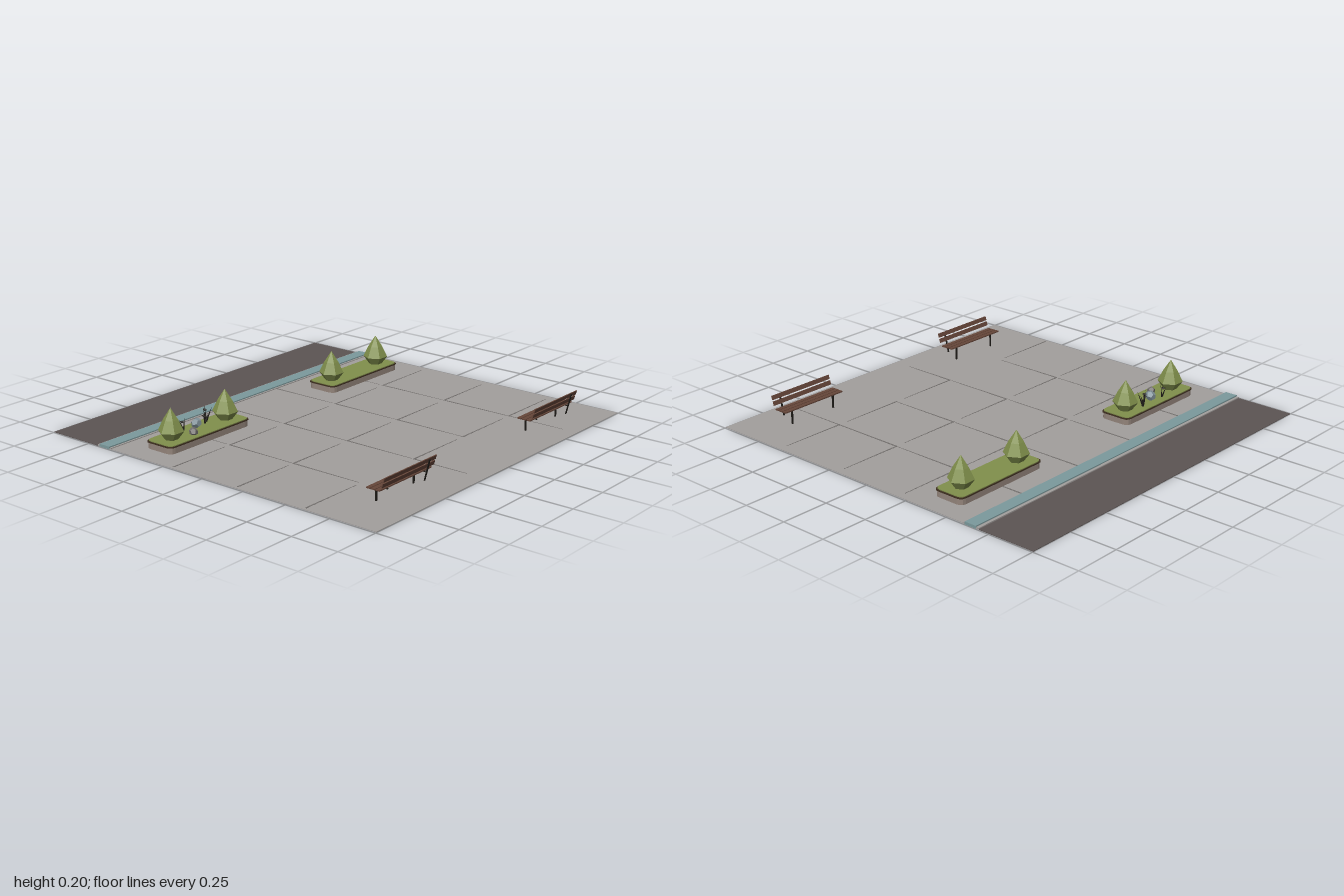
import * as THREE from 'three';

const paint = (name, color, flatShading = true) => {
  const m = new THREE.MeshStandardMaterial({ color, flatShading, side: THREE.DoubleSide });
  m.name = name;
  return m;
};

export function createModel() {
  const mats = {
    paving: paint('paving grey', 0xa39f9d),
    joint: paint('joint grey', 0x74716f),
    road: paint('road brown grey', 0x5c5453),
    kerb: paint('kerb teal', 0x7c9a9d),
    stone: paint('planter stone', 0x94857b),
    soil: paint('soil brown', 0x3f3020),
    green: paint('leaf green', 0x81904c),
    wood: paint('bench wood', 0x664639),
    dark: paint('dark metal', 0x1f1c18),
    rock: paint('rock blue grey', 0x81929a),
  };
  const model = new THREE.Group();
  model.name = 'plaza';

  const add = (parent, name, geo, mat, x = 0, y = 0, z = 0) => {
    const mesh = new THREE.Mesh(geo, mat);
    mesh.name = name;
    mesh.position.set(x, y, z);
    parent.add(mesh);
    return mesh;
  };
  const box = (parent, name, mat, w, h, d, x, y, z) =>
    add(parent, name, new THREE.BoxGeometry(w, h, d), mat, x, y, z);

  // Ground: road, raised kerb and paving
  box(model, 'road', mats.road, 0.31, 0.003, 1.99, -0.845, 0.0015, 0);
  box(model, 'kerbBase', mats.paving, 0.09, 0.008, 1.99, -0.645, 0.0045, 0);
  box(model, 'kerb', mats.kerb, 0.066, 0.014, 1.995, -0.642, 0.0075, 0);
  box(model, 'paving', mats.paving, 1.6, 0.003, 1.99, 0.2, 0.0025, 0);

  // Worn joints between the slabs, showing on both faces: a tapered strip each
  const joint = (alongX, at, from, to) => {
    const s = new THREE.Shape();
    s.moveTo(from, -0.005);
    s.lineTo(to, -0.002);
    s.lineTo(to, 0.002);
    s.lineTo(from, 0.005);
    const geo = new THREE.ExtrudeGeometry(s, { depth: 0.004, bevelEnabled: false });
    geo.rotateX(Math.PI / 2);
    if (!alongX) geo.rotateY(-Math.PI / 2);
    add(model, 'joint', geo, mats.joint, alongX ? 0 : at, 0.0045, alongX ? at : 0);
  };
  for (const z of [-0.605, -0.205, 0.195, 0.595]) {
    joint(true, z, -0.6, -0.22);
    joint(true, z, -0.2, 0.19);
    joint(true, z, 0.2, z < -0.5 ? 0.92 : 0.59);
    if (z > 0 && z < 0.5) joint(true, z, 0.6, 0.9);
  }
  for (const x of [-0.2, 0.2, 0.6]) {
    for (const z of [-0.6, -0.2, 0.2, 0.6, 0.98]) {
      if (x === 0.6 && z === 0.6) continue;
      joint(false, x, z, z - 0.35);
    }
  }

  // Planters: rounded stone trough, soil edge, grass and two shrubs
  const slab = (w, l, r, h) => {
    const s = new THREE.Shape();
    const x = w / 2, y = l / 2;
    s.moveTo(-x + r, -y);
    s.lineTo(x - r, -y);
    s.quadraticCurveTo(x, -y, x, -y + r);
    s.lineTo(x, y - r);
    s.quadraticCurveTo(x, y, x - r, y);
    s.lineTo(-x + r, y);
    s.quadraticCurveTo(-x, y, -x, y - r);
    s.lineTo(-x, -y + r);
    s.quadraticCurveTo(-x, -y, -x + r, -y);
    const geo = new THREE.ExtrudeGeometry(s, { depth: h, bevelEnabled: false, curveSegments: 3 });
    return geo.rotateX(-Math.PI / 2);
  };
  const shrubGeo = new THREE.LatheGeometry(
    [[0, 0], [0.034, 0], [0.065, 0.042], [0.037, 0.1], [0, 0.158]].map((p) => new THREE.Vector2(...p)), 6);
  const planter = (z) => {
    const g = new THREE.Group();
    g.name = 'planter';
    g.position.set(-0.4, 0, z);
    add(g, 'trough', slab(0.166, 0.552, 0.03, 0.033), mats.stone, 0, 0.002, 0);
    add(g, 'soil', slab(0.172, 0.56, 0.03, 0.006), mats.soil, 0, 0.035, 0);
    add(g, 'grass', slab(0.164, 0.548, 0.03, 0.005), mats.green, 0, 0.04, 0);
    for (const s of [-1, 1]) add(g, 'shrub', shrubGeo, mats.green, 0, 0.043, s * 0.189);
    model.add(g);
    return g;
  };
  planter(-0.605);
  const bed = planter(0.6);

  // Rocks and dry sprigs in the front planter
  const rock = (name, mat, r, x, y, z, turn) => {
    const m = add(bed, name, new THREE.DodecahedronGeometry(r, 0), mat, x, y, z);
    m.scale.set(1, 0.9, 0.85);
    m.rotation.set(turn, turn * 2, 0.3);
  };
  rock('blueRock', mats.rock, 0.029, -0.02, 0.067, -0.005, 0.5);
  rock('greyRock', mats.joint, 0.025, 0.035, 0.055, 0.072, 1.1);
  for (const [x, z, h] of [[-0.045, -0.1, 0.085], [-0.03, -0.075, 0.055], [-0.04, 0.065, 0.06]]) {
    const sprig = new THREE.Group();
    sprig.name = 'sprig';
    sprig.position.set(x, 0.044, z);
    for (let i = 0; i < 3; i++) {
      const a = i * 2.1 + z * 20;
      const stem = new THREE.ConeGeometry(0.005, h, 4).translate(0, h / 2, 0);
      stem.rotateX(0.2 + i * 0.08).rotateY(a);
      add(sprig, 'stem', stem, mats.dark);
    }
    add(sprig, 'leaf', new THREE.OctahedronGeometry(0.011), mats.dark, 0, h * 0.75, 0.008).scale.set(1.2, 0.6, 1);
    bed.add(sprig);
  }

  // Benches: three seat slats, two leaning back slats, thin legs
  for (const z of [-0.61, 0.583]) {
    const g = new THREE.Group();
    g.name = 'bench';
    g.position.z = z;
    for (const x of [0.781, 0.807, 0.833]) box(g, 'seatSlat', mats.wood, 0.022, 0.006, 0.382, x, 0.08, 0);
    for (const [x, y] of [[0.858, 0.107], [0.867, 0.135]]) {
      box(g, 'backSlat', mats.wood, 0.005, 0.022, 0.382, x, y, 0).rotation.z = -0.3;
    }
    for (const s of [-1, 1]) {
      box(g, 'frontLeg', mats.dark, 0.006, 0.076, 0.009, 0.785, 0.04, s * 0.137);
      box(g, 'seatRail', mats.dark, 0.075, 0.003, 0.009, 0.812, 0.0755, s * 0.137);
    }
    box(g, 'backSupport', mats.dark, 0.004, 0.11, 0.009, 0.859, 0.085, -0.137).rotation.z = -0.25;
    model.add(g);
  }
  return model;
}
